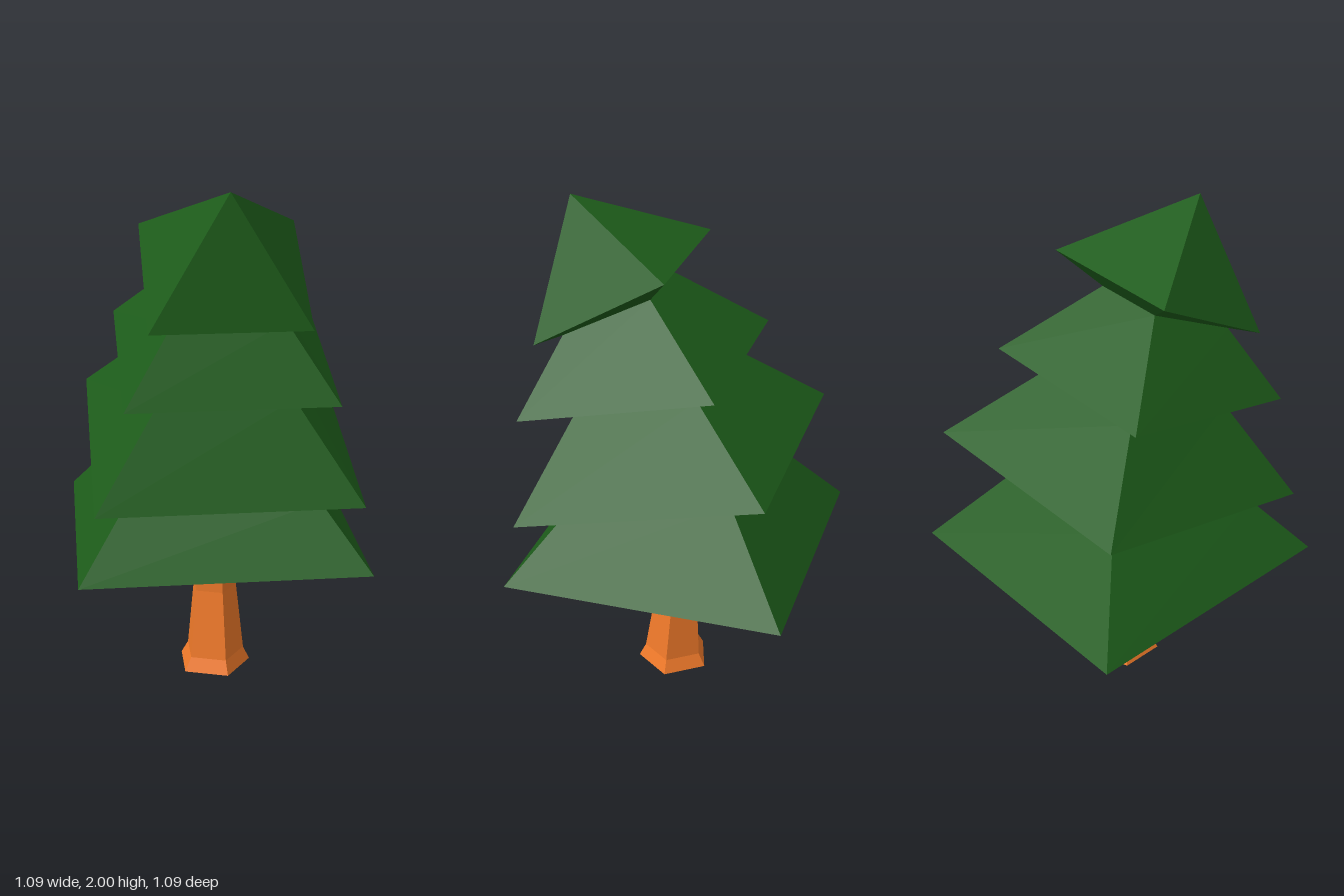
import * as THREE from 'three';

// Skins a stack of rings (each a list of points, counter-clockwise from above), skipping collapsed triangles.
function loft(rings, material, name) {
  const pos = [];
  const tri = (a, b, c) => {
    const area = b.clone().sub(a).cross(c.clone().sub(a)).length();
    if (area > 1e-7) pos.push(...a, ...b, ...c);
  };
  for (let r = 0; r < rings.length - 1; r++) {
    const lo = rings[r], hi = rings[r + 1], n = lo.length;
    for (let i = 0; i < n; i++) {
      const j = (i + 1) % n;
      tri(lo[i], lo[j], hi[j]);
      tri(lo[i], hi[j], hi[i]);
    }
  }
  const geometry = new THREE.BufferGeometry();
  geometry.setAttribute('position', new THREE.Float32BufferAttribute(pos, 3));
  geometry.computeVertexNormals();
  const mesh = new THREE.Mesh(geometry, material);
  mesh.name = name;
  return mesh;
}

// Four-cornered ring tilted front to back: centre x, then z, y and half width at the front and the back.
const quad = (cx, zf, yf, hf, zb, yb, hb) => [
  new THREE.Vector3(cx - hf, yf, zf), new THREE.Vector3(cx + hf, yf, zf),
  new THREE.Vector3(cx + hb, yb, zb), new THREE.Vector3(cx - hb, yb, zb),
];

// Level five-sided ring with one corner towards +x.
const pentagon = (y, radius, cx, cz) => Array.from({ length: 5 }, (_, i) => {
  const a = (i / 5) * Math.PI * 2;
  return new THREE.Vector3(cx + radius * Math.cos(a), y, cz - radius * Math.sin(a));
});

export function createModel() {
  const model = new THREE.Group();
  model.name = 'pineTree';
  const bark = new THREE.MeshStandardMaterial({ color: 0xf07a2a, flatShading: true });
  const needles = new THREE.MeshStandardMaterial({ color: 0x1d5c1a, flatShading: true });

  // Trunk with a flared foot
  model.add(loft([
    pentagon(0, 0, 0, 0.027),
    pentagon(0, 0.15, 0, 0.027),
    pentagon(0.055, 0.122, 0.003, 0.027),
    pentagon(0.335, 0.092, 0.004, 0.01),
    pentagon(0.45, 0.09, 0.004, 0.01),
  ], bark, 'trunk'));

  // Foliage: narrow necks alternate with wide rims, each tier leaning further forward
  const necks = [
    quad(0, 0, 0.378, 0, 0, 0.378, 0),
    quad(0, 0.367, 0.823, 0.37, -0.275, 0.945, 0.275),
    quad(0.018, 0.34, 1.222, 0.25, -0.14, 1.35, 0.245),
    quad(0.022, 0.387, 1.528, 0.205, 0.066, 1.683, 0.143),
    quad(0.02, 0.418, 2, 0, 0.418, 2, 0),
  ];
  const rims = [
    quad(0, 0.545, 0.59, 0.545, -0.545, 0.59, 0.545),
    quad(0.018, 0.503, 0.847, 0.497, -0.465, 1.077, 0.497),
    quad(0.023, 0.51, 1.243, 0.39, -0.248, 1.422, 0.39),
    quad(0.02, 0.468, 1.514, 0.294, -0.034, 1.81, 0.294),
  ];
  const foliage = new THREE.Group();
  foliage.name = 'foliage';
  rims.forEach((rim, i) => {
    foliage.add(loft([necks[i], rim, necks[i + 1]], needles, `foliageTier${i + 1}`));
  });
  model.add(foliage);
  return model;
}
